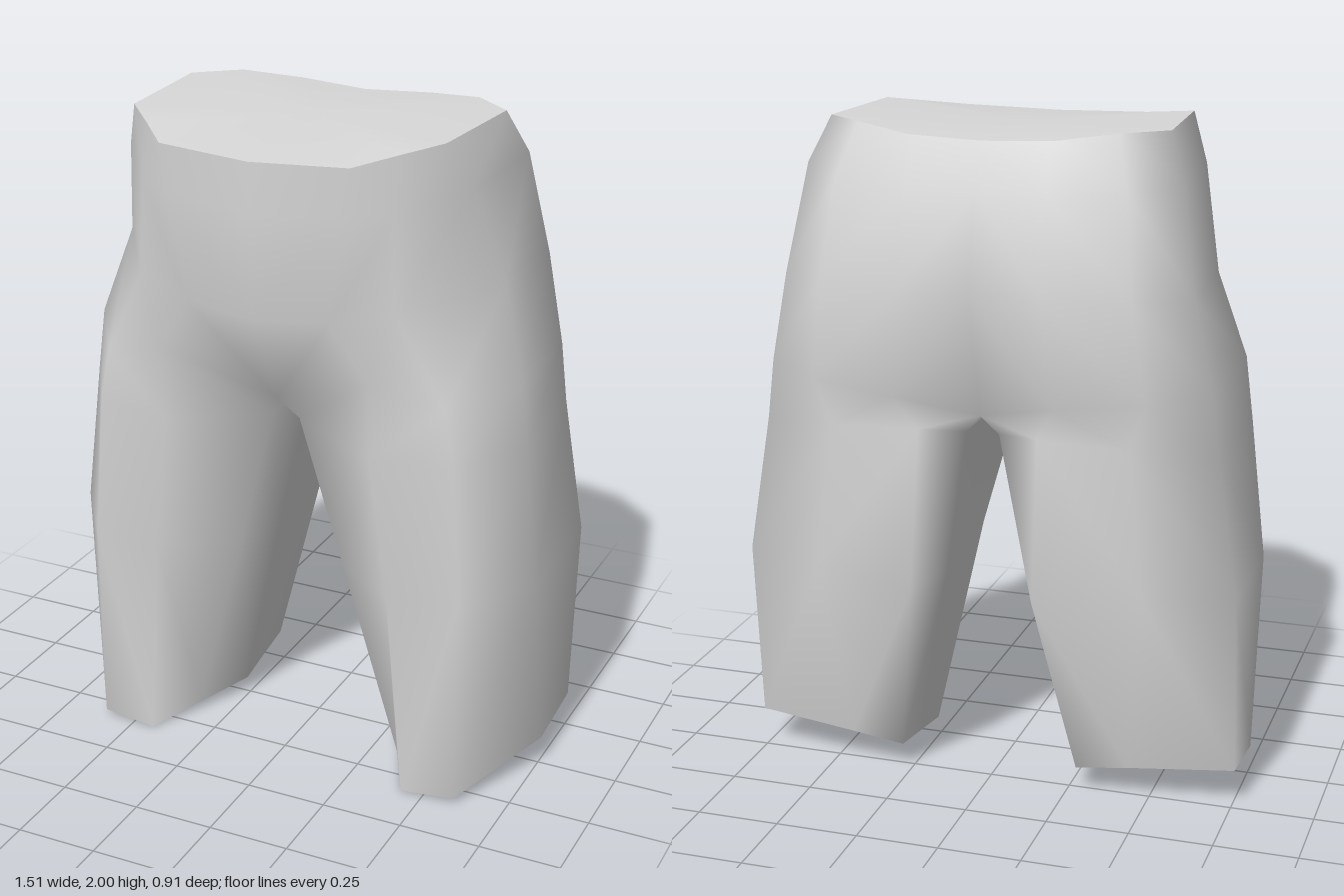
import * as THREE from 'three';
import { mergeVertices } from 'three/addons/utils/BufferGeometryUtils.js';

// Half sections (x >= 0), running from centre front round the outside to centre back.
const pelvisSections = [
  [[0, 1.95, .453], [.29, 1.96, .423], [.385, 1.98, .32], [.483, 2, .22], [.508, 2, -.17], [.385, 2, -.272], [.21, 1.98, -.333], [0, 1.97, -.323]],
  [[0, 1.8, .45], [.27, 1.82, .42], [.39, 1.82, .345], [.54, 1.86, .15], [.56, 1.87, -.23], [.43, 1.85, -.345], [.21, 1.83, -.39], [0, 1.83, -.38]],
  [[0, 1.49, .44], [.22, 1.5, .41], [.4, 1.54, .36], [.605, 1.56, .05], [.613, 1.55, -.295], [.46, 1.56, -.415], [.21, 1.56, -.457], [0, 1.56, -.447]],
];

// Closed leg sections: the same run, plus a last point on the inner side.
const legSections = [
  [[0, 1.2, .29], [.33, 1.33, .377], [.54, 1.27, .325], [.686, 1.3, .1], [.67, 1.28, -.28], [.5, 1.26, -.385], [.24, 1.24, -.433], [0, 1.18, -.345], [0, 1.15, -.05]],
  [[.045, 1.12, .23], [.33, 1.1, .37], [.57, 1.1, .327], [.71, 1.1, .105], [.69, 1.1, -.283], [.45, 1.12, -.365], [.18, 1.13, -.374], [.05, 1.12, -.32], [.045, 1.12, -.04]],
  [[.17, .66, .2], [.38, .66, .35], [.6, .67, .335], [.755, .67, .12], [.755, .68, -.297], [.5, .68, -.39], [.185, .66, -.443], [.14, .65, -.24], [.13, .65, .01]],
  [[.345, .025, .165], [.43, 0, .33], [.6, .02, .33], [.757, .09, 0], [.757, .118, -.243], [.44, .1, -.282], [.278, .077, -.28], [.27, .063, -.14], [.26, .05, 0]],
];

const mirror = ring => ring.map(([x, y, z]) => [-x, y, z]);

// Triangles between an upper and a lower section; flip reverses them for the mirrored side.
function skin(out, upper, lower, closed, flip) {
  const n = upper.length;
  for (let i = 0; i < (closed ? n : n - 1); i++) {
    const j = (i + 1) % n;
    const quad = [lower[i], lower[j], upper[j], lower[i], upper[j], upper[i]];
    if (flip) quad.reverse();
    quad.forEach(p => out.push(...p));
  }
}

// Lid fanned from the middle of a loop.
function lid(loop, flip) {
  const middle = [0, 1, 2].map(k => loop.reduce((s, p) => s + p[k], 0) / loop.length);
  const out = [];
  loop.forEach((p, i) => {
    const next = loop[(i + 1) % loop.length];
    out.push(...middle, ...(flip ? next : p), ...(flip ? p : next));
  });
  return smooth(out);
}

function smooth(positions) {
  let geometry = new THREE.BufferGeometry();
  geometry.setAttribute('position', new THREE.Float32BufferAttribute(positions, 3));
  geometry = mergeVertices(geometry, 1e-4);
  geometry.computeVertexNormals();
  return geometry;
}

export function createModel() {
  const group = new THREE.Group();
  group.name = 'shorts';
  const cloth = new THREE.MeshStandardMaterial({ color: 0xd8d8d8 });
  cloth.name = 'grey cloth';
  const add = (name, geometry) => {
    const mesh = new THREE.Mesh(geometry, cloth);
    mesh.name = name;
    group.add(mesh);
  };

  // Pelvis and legs as one smooth skin, joined along the centre line
  const body = [];
  for (const flip of [false, true]) {
    const side = ring => (flip ? mirror(ring) : ring);
    const pelvis = [...pelvisSections, legSections[0].slice(0, -1)];
    for (let i = 0; i < pelvis.length - 1; i++) skin(body, side(pelvis[i]), side(pelvis[i + 1]), false, flip);
    for (let i = 0; i < legSections.length - 1; i++) skin(body, side(legSections[i]), side(legSections[i + 1]), true, flip);
  }
  add('pelvisAndLegs', smooth(body));

  // Lids at the waist and the two hems
  const waist = pelvisSections[0];
  add('waistLid', lid([...waist, ...mirror(waist.slice(1, -1)).reverse()], false));
  const hem = legSections[legSections.length - 1];
  add('leftHemLid', lid(hem, true));
  add('rightHemLid', lid(mirror(hem), false));
  return group;
}
